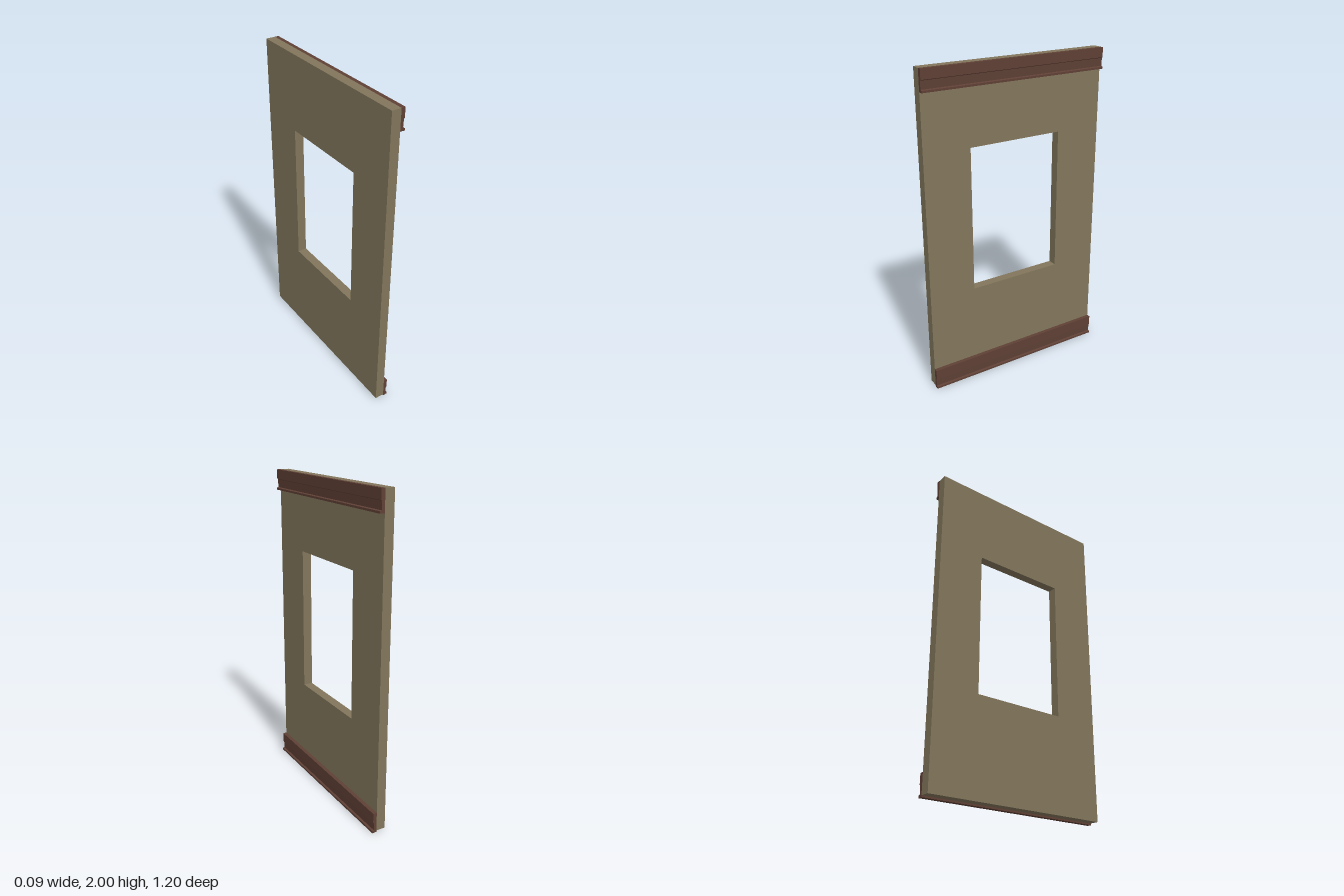
import * as THREE from 'three';

const HALF = 0.6;      // half width of the panel along z
const FACE = 0.013;    // x of the trimmed wall face
const BACK = -0.045;   // x of the plain wall face

const plaster = new THREE.MeshStandardMaterial({ color: 0x82765b });
plaster.name = 'plaster';
const wood = new THREE.MeshStandardMaterial({ color: 0x5f4035 });
wood.name = 'darkWood';

// Closed rectangle outline
const rect = (path, x0, y0, x1, y1) =>
  path.moveTo(x0, y0).lineTo(x1, y0).lineTo(x1, y1).lineTo(x0, y1).closePath();

// Wall slab with a window opening, drawn in z/y and turned to face +x
function makeWall() {
  const outline = rect(new THREE.Shape(), -HALF, 0.01, HALF, 2);
  outline.holes.push(rect(new THREE.Path(), -0.302, 0.615, 0.304, 1.52));
  const geo = new THREE.ExtrudeGeometry(outline, { depth: FACE - BACK, bevelEnabled: false });
  geo.rotateY(-Math.PI / 2).translate(FACE, 0, 0);
  const wall = new THREE.Mesh(geo, plaster);
  wall.name = 'wall';
  return wall;
}

// Moulding profile in x/y: upper band, recessed band, bottom lip
function makeTrim(name, y, height) {
  const profile = new THREE.Shape([
    [FACE, 0], [0.042, 0], [0.042, 0.012], [0.03, 0.016], [0.032, 0.064],
    [0.037, 0.068], [0.037, height], [FACE, height],
  ].map(([px, py]) => new THREE.Vector2(px, py)));
  const geo = new THREE.ExtrudeGeometry(profile, { depth: HALF * 2, bevelEnabled: false });
  geo.translate(0, y, -HALF);
  const trim = new THREE.Mesh(geo, wood);
  trim.name = name;
  return trim;
}

export function createModel() {
  const model = new THREE.Group();
  model.name = 'windowWallPanel';
  model.add(
    makeWall(),
    makeTrim('baseboard', 0, 0.13),
    makeTrim('crownTrim', 1.873, 0.127),
  );
  return model;
}
